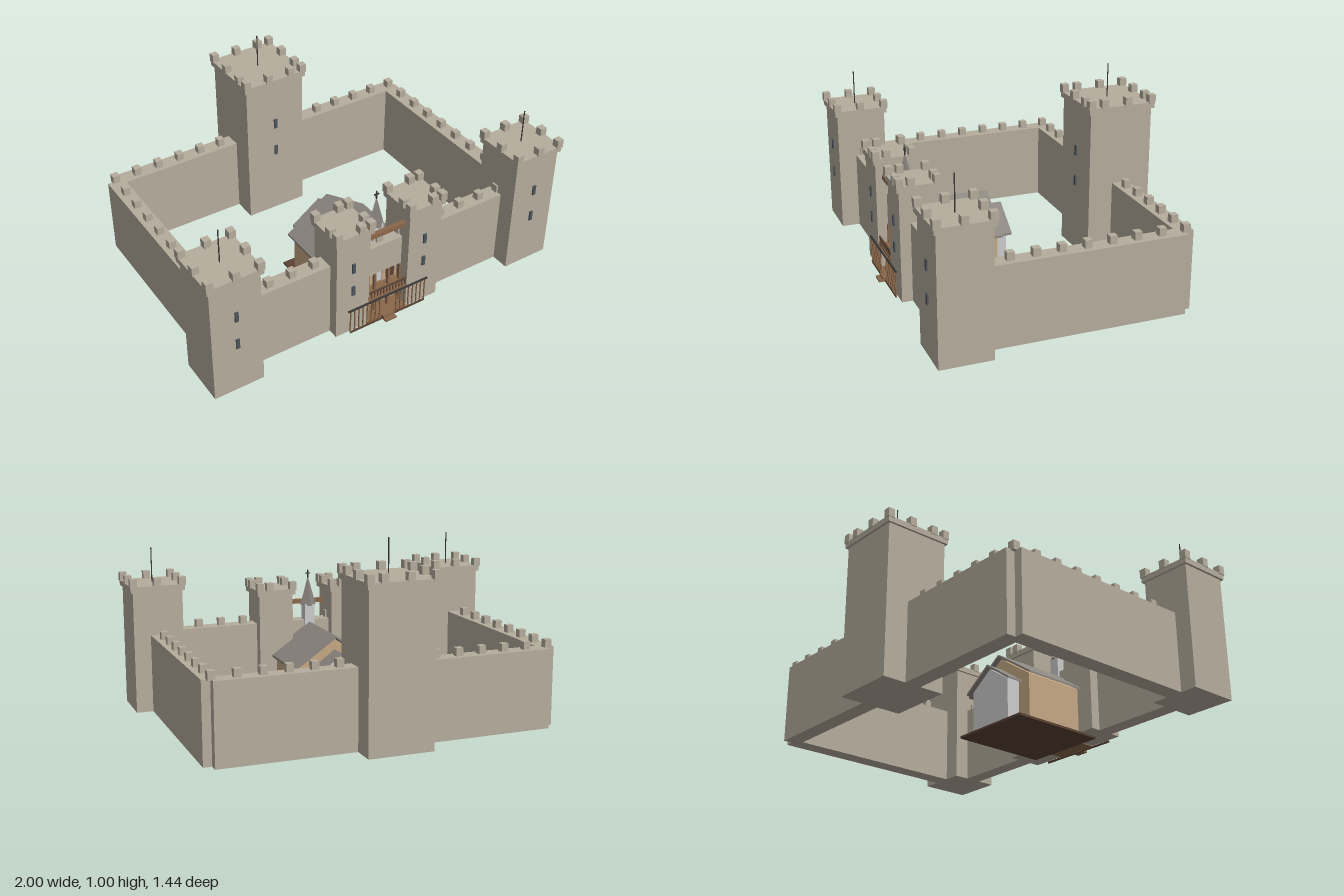
import * as THREE from 'three';

const mat = (color) => new THREE.MeshStandardMaterial({ color, flatShading: true });
const stone = mat(0xb5ac9c), glass = mat(0x4c545c), iron = mat(0x3c3a38), slate = mat(0x8c8680);
const timber = mat(0x8a674a), darkWood = mat(0x5a4334), plaster = mat(0xc4a783), pale = mat(0xcccccc);

// Box given by its lower and upper corners
function box(parent, name, material, [x0, y0, z0], [x1, y1, z1]) {
  const m = new THREE.Mesh(new THREE.BoxGeometry(x1 - x0, y1 - y0, z1 - z0), material);
  m.position.set((x0 + x1) / 2, (y0 + y1) / 2, (z0 + z1) / 2);
  m.name = name;
  parent.add(m);
  return m;
}

function group(parent, name) {
  const g = new THREE.Group();
  g.name = name;
  parent.add(g);
  return g;
}

const M = 0.018; // half size of a merlon
const merlon = (g, x, y, z) => box(g, 'merlon', stone, [x - M, y, z - M], [x + M, y + 0.045, z + M]);

// Square tower: shaft, overhanging cap, merlons, slit windows and optional pole
function tower(parent, name, { x, z, w, d, h, pole, windows, windowX = x }) {
  const g = group(parent, name);
  const hw = w / 2, hd = d / 2, o = 0.012;
  box(g, 'shaft', stone, [x - hw, 0.01, z - hd], [x + hw, h, z + hd]);
  box(g, 'cap', stone, [x - hw - o, h, z - hd - o], [x + hw + o, h + 0.03, z + hd + o]);
  const steps = (half) => {
    const list = [];
    for (let v = -half; v < half - 0.03; v += 0.13) list.push(v);
    return [...list, half];
  };
  const ax = hw - 0.002, az = hd - 0.002;
  for (const dx of steps(ax)) for (const s of [-1, 1]) merlon(g, x + dx, h + 0.025, z + s * az);
  for (const dz of steps(az).slice(1, -1)) for (const s of [-1, 1]) merlon(g, x + s * ax, h + 0.025, z + dz);
  for (const y of windows)
    box(g, 'slitWindow', glass, [windowX - 0.009, y - 0.027, z + hd - 0.01], [windowX + 0.009, y + 0.027, z + hd + 0.007]);
  if (pole) {
    const p = new THREE.Mesh(new THREE.CylinderGeometry(0.003, 0.003, pole - h, 6), iron);
    p.position.set(x, (pole + h) / 2, z);
    p.name = 'flagpole';
    g.add(p);
  }
}

// Pitched roof or gable body: a cross-section pulled along z
function prism(parent, name, material, points, z0, z1) {
  const shape = new THREE.Shape(points.map(([x, y]) => new THREE.Vector2(x, y)));
  const geo = new THREE.ExtrudeGeometry(shape, { depth: z1 - z0, bevelEnabled: false });
  const m = new THREE.Mesh(geo, material);
  m.position.z = z0;
  m.name = name;
  parent.add(m);
}
const gable = (w, y0, eave, ridge) => [[-w, y0], [w, y0], [w, eave], [0, ridge], [-w, eave]];
const roof = (w, eave, ridge, t) => [[-w, eave], [0, ridge - t], [w, eave], [w, eave + t], [0, ridge], [-w, eave + t]];

export function createModel() {
  const model = new THREE.Group();
  model.name = 'castle';

  // Towers
  tower(model, 'keep', { x: 0, z: -0.54, w: 0.334, d: 0.334, h: 0.795, pole: 1.0, windows: [0.39, 0.555] });
  for (const s of [-1, 1]) {
    tower(model, 'cornerTower', { x: s * 0.853, z: 0.575, w: 0.258, d: 0.258, h: 0.642, pole: 0.85, windows: [0.292, 0.452] });
    tower(model, 'gateTower', { x: s * 0.206, z: 0.569, w: 0.187, d: 0.19, h: 0.572, windows: [0.262, 0.4] });
  }

  // Curtain walls with merlons; the front one is open below at the gate
  const walls = group(model, 'curtainWalls');
  const top = 0.415;
  box(walls, 'backWall', stone, [-0.853, 0.01, -0.585], [0.853, top, -0.5]);
  box(walls, 'gateLintel', stone, [-0.12, 0.25, 0.525], [0.12, top, 0.61]);
  for (const s of [-1, 1]) {
    const a = s * 0.22, b = s * 0.8;
    box(walls, 'frontWall', stone, [Math.min(a, b), 0.01, 0.525], [Math.max(a, b), top, 0.61]);
    box(walls, 'sideWall', stone, [s * 0.853 - 0.043, 0.01, -0.538], [s * 0.853 + 0.043, top, 0.5]);
    for (let i = 0; i < 8; i++) merlon(walls, s * 0.853, top - 0.005, -0.54 + i * 0.124);
  }
  for (let i = -6; i <= 6; i++) {
    merlon(walls, i * 0.122, top - 0.005, 0.568);
    if (Math.abs(i) > 1) merlon(walls, i * 0.122, top - 0.005, -0.542);
  }

  // Hall behind the gate, with a lower rear bay
  const hall = group(model, 'hall');
  box(hall, 'floorSlab', darkWood, [-0.222, 0, 0.058], [0.222, 0.012, 0.578]);
  prism(hall, 'hallWalls', plaster, gable(0.205, 0.01, 0.245, 0.385), 0.14, 0.55);
  prism(hall, 'hallRoof', slate, roof(0.23, 0.235, 0.405, 0.012), 0.12, 0.54);
  prism(hall, 'rearBayWalls', pale, gable(0.13, 0.01, 0.22, 0.31), 0.065, 0.15);
  prism(hall, 'rearBayRoof', slate, roof(0.155, 0.208, 0.33, 0.012), 0.045, 0.15);

  // Spire over the gate
  const spire = group(model, 'spire');
  spire.position.z = 0.543;
  box(spire, 'turret', pale, [-0.028, 0.37, -0.028], [0.028, 0.5, 0.028]);
  const cone = new THREE.Mesh(new THREE.ConeGeometry(0.045, 0.16, 4), slate);
  cone.position.y = 0.575;
  cone.name = 'spireRoof';
  spire.add(cone);
  box(spire, 'crossUpright', iron, [-0.003, 0.645, -0.003], [0.003, 0.688, 0.003]);
  box(spire, 'crossArm', iron, [-0.013, 0.667, -0.003], [0.013, 0.673, 0.003]);

  // Gate front: beam, two timber storeys, door and steps
  const gate = group(model, 'gateFront');
  box(gate, 'beam', timber, [-0.113, 0.492, 0.608], [0.113, 0.515, 0.632]);
  box(gate, 'frontPanel', plaster, [-0.115, 0.01, 0.54], [0.115, 0.25, 0.575]);
  box(gate, 'balconyFloor', timber, [-0.113, 0.138, 0.575], [0.113, 0.15, 0.66]);
  box(gate, 'balconyRail', darkWood, [-0.113, 0.183, 0.652], [0.113, 0.19, 0.66]);
  box(gate, 'porchFloor', timber, [-0.113, 0.005, 0.575], [0.113, 0.02, 0.665]);
  for (let i = -6; i <= 6; i++)
    box(gate, 'balconyBaluster', darkWood, [i * 0.018 - 0.002, 0.15, 0.654], [i * 0.018 + 0.002, 0.184, 0.658]);
  for (const x of [-0.107, -0.04, 0.04, 0.107])
    box(gate, 'post', timber, [x - 0.006, 0.01, 0.6], [x + 0.006, 0.25, 0.615]);
  for (const x of [-0.073, 0, 0.073]) {
    box(gate, 'windowFrame', timber, [x - 0.024, 0.16, 0.57], [x + 0.024, 0.238, 0.582]);
    box(gate, 'windowPane', x ? darkWood : pale, [x - 0.018, 0.168, 0.575], [x + 0.018, 0.23, 0.585]);
    box(gate, x ? 'lowerWindow' : 'door', timber, [x - 0.024, x ? 0.05 : 0.015, 0.57], [x + 0.024, 0.125, 0.583]);
  }
  box(gate, 'lowerStep', timber, [-0.032, 0.003, 0.66], [0.032, 0.013, 0.705]);
  box(gate, 'upperStep', timber, [-0.032, 0.013, 0.66], [0.032, 0.024, 0.685]);

  // Fence across the gate towers
  const fence = group(model, 'fence');
  box(fence, 'topRail', iron, [-0.233, 0.138, 0.667], [0.233, 0.146, 0.675]);
  box(fence, 'bottomRail', darkWood, [-0.222, 0.002, 0.667], [0.222, 0.01, 0.675]);
  for (let i = -9; i <= 9; i++) {
    const x = i * 0.0245;
    if (Math.abs(i) > 1) box(fence, 'fenceBar', timber, [x - 0.0025, 0.005, 0.668], [x + 0.0025, 0.14, 0.673]);
  }
  return model;
}
